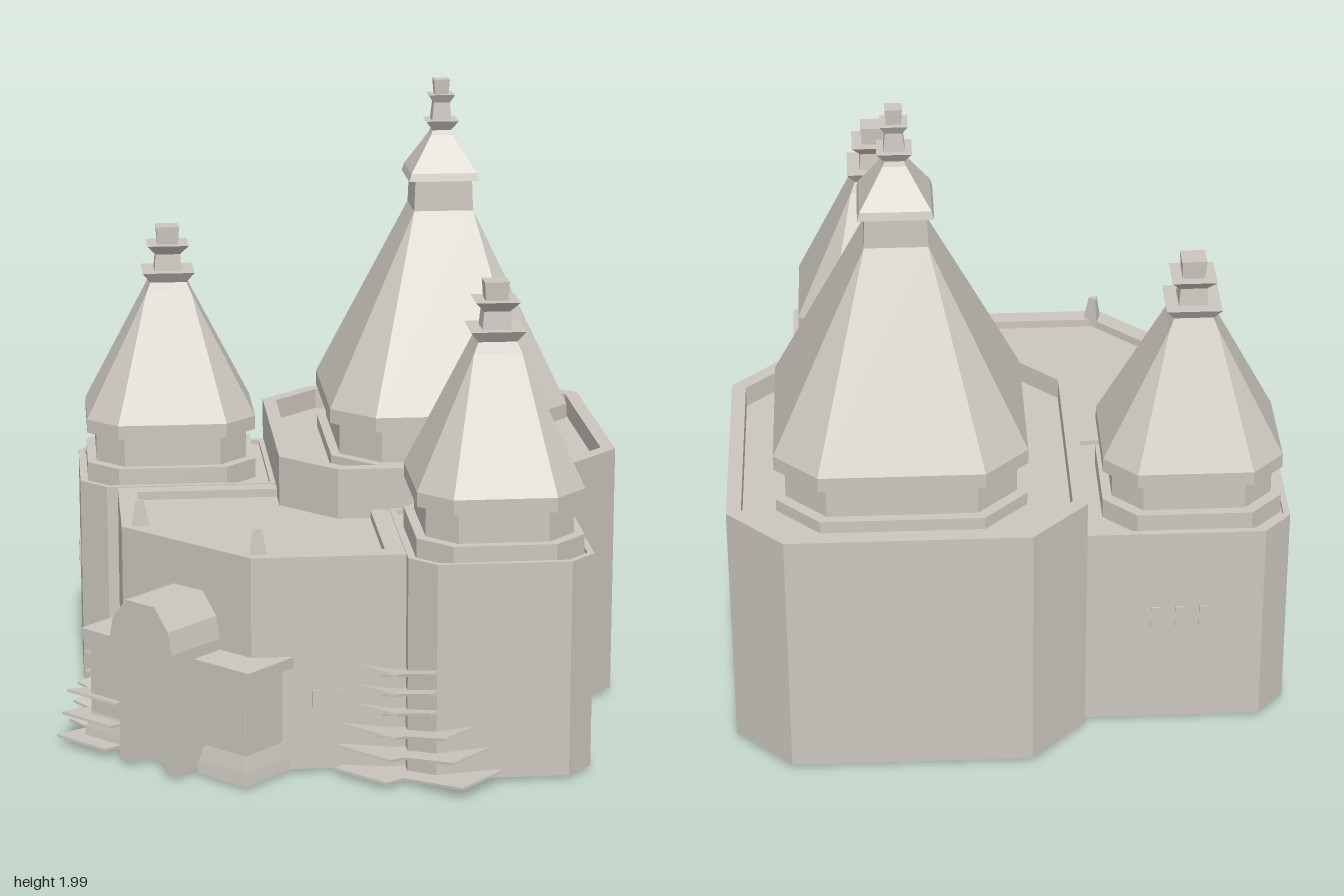
import * as THREE from 'three';

const stone = new THREE.MeshStandardMaterial({ color: 0xcbc6be, side: THREE.DoubleSide });
stone.name = 'pale stone';

function mesh(name, geometry, parent) {
  const m = new THREE.Mesh(geometry, stone);
  m.name = name;
  parent.add(m);
  return m;
}

// Chamfered rectangle in plan, counter-clockwise seen from above
function octagon(cx, cz, hx, hz, c) {
  c = Math.max(c, 0.0005);
  return [
    [hx, hz - c], [hx, c - hz], [hx - c, -hz], [c - hx, -hz],
    [-hx, c - hz], [-hx, hz - c], [c - hx, hz], [hx - c, hz],
  ].map(([x, z]) => [cx + x, cz + z]);
}

// Move every side of a convex plan inwards by d
function inset(plan, d) {
  const n = plan.length;
  const side = (i) => {
    const [a, b] = [plan[i], plan[(i + 1) % n]];
    const l = Math.hypot(b[0] - a[0], b[1] - a[1]);
    const nx = (b[1] - a[1]) / l, nz = -(b[0] - a[0]) / l;
    return [nx, nz, nx * a[0] + nz * a[1] + d];
  };
  return plan.map((_, i) => {
    const [a, b, p] = side((i + n - 1) % n), [c, e, q] = side(i);
    const det = a * e - b * c;
    return [(p * e - b * q) / det, (a * q - p * c) / det];
  });
}

// Flat-shaded skin through [plan, height] sections, closed on top, open below
function loft(sections) {
  const pos = [], idx = [], n = sections[0][0].length;
  for (const [plan, y] of sections) for (const [x, z] of plan) pos.push(x, y, z);
  for (let s = 0; s < sections.length - 1; s++) {
    for (let i = 0; i < n; i++) {
      const a = s * n + i, b = s * n + (i + 1) % n;
      idx.push(a, b, b + n, a, b + n, a + n);
    }
  }
  const top = (sections.length - 1) * n;
  for (let i = 1; i < n - 1; i++) idx.push(top, top + i, top + i + 1);
  const g = new THREE.BufferGeometry();
  g.setAttribute('position', new THREE.Float32BufferAttribute(pos, 3));
  g.setIndex(idx);
  const flat = g.toNonIndexed();
  flat.computeVertexNormals();
  return flat;
}

// Wall with a parapet around a sunken deck
function walls(name, plan, top, thickness, deck, parent) {
  const inner = inset(plan, thickness);
  mesh(name, loft([[plan, 0.02], [plan, top], [inner, top], [inner, deck]]), parent);
}

// Spire from [half x, half z, chamfer, y] steps
function spire(name, cx, cz, steps, parent) {
  mesh(name, loft(steps.map(([hx, hz, c, y]) => [octagon(cx, cz, hx, hz, c), y])), parent);
}

const square = (list) => list.map(([h, y]) => [h, h, 0, y]);

function smallSpire(name, cx, cz, hx, hz, parent) {
  spire(name, cx, cz, [
    [hx, hz, 0.1, 0.67], [hx, hz, 0.1, 0.755],
    [hx - 0.03, hz - 0.03, 0.09, 0.755], [hx - 0.03, hz - 0.03, 0.09, 0.855],
    [hx, hz, 0.1, 0.855], [hx, hz, 0.1, 0.9],
    ...square([[0.075, 1.3], [0.06, 1.335], [0.085, 1.37], [0.045, 1.37], [0.04, 1.425],
      [0.068, 1.457], [0.034, 1.457], [0.038, 1.515]]),
  ], parent);
}

// Thin plate tilted up along +z, starting at the origin
function bough(width, reach, pitch) {
  return new THREE.BoxGeometry(width, 0.008, reach).translate(0, 0, reach / 2).rotateX(-pitch);
}

// Tiered shrub with two arms at right angles
function shrub(name, x, z, armA, armB, sideSign, parent) {
  const g = new THREE.Group();
  g.name = name;
  g.position.set(x, 0, z);
  g.rotation.y = -Math.PI / 4;
  for (let i = 0; i < 6; i++) {
    const low = i < 3;
    const y = 0.012 + i * 0.063, pitch = low ? 0.1 + i * 0.04 : 0.22;
    const scale = low ? 1 - i * 0.1 : 0.58;
    const front = mesh('frontBough', bough(low ? 0.21 : 0.16, armA * scale, pitch), g);
    front.position.y = y;
    const side = mesh('sideBough', bough(low ? 0.2 : 0.15, armB * scale, pitch), g);
    side.position.y = y;
    side.rotation.y = sideSign * Math.PI / 2;
  }
  parent.add(g);
}

function gate(parent) {
  const g = new THREE.Group();
  g.name = 'gate';
  g.position.set(-0.495, 0, 0.48);
  g.rotation.y = -Math.PI / 4;
  const box = (name, w, h, d, x, y, z) => mesh(name, new THREE.BoxGeometry(w, h, d), g).position.set(x, y, z);

  // Porch roof with sloped shoulders
  const roof = new THREE.Shape([[-0.13, 0.42], [0.13, 0.42], [0.115, 0.49], [0.06, 0.56], [-0.06, 0.56], [-0.115, 0.49]]
    .map(([x, y]) => new THREE.Vector2(x, y)));
  mesh('porchRoof', new THREE.ExtrudeGeometry(roof, { depth: 0.27, bevelEnabled: false }), g).position.z = -0.04;
  box('doorPanel', 0.2, 0.4, 0.02, 0, 0.22, 0.13);

  for (const s of [-1, 1]) {
    box('doorJamb', 0.05, 0.4, 0.23, s * 0.095, 0.22, 0.085);
    // Flanking buttress with a flared foot and a slab on top
    const plan = (e) => octagon(s * 0.24, 0.02, 0.085 + e, 0.095 + e, 0);
    mesh('buttress', loft([[plan(0.018), 0.02], [plan(0.012), 0.06], [plan(0), 0.11], [plan(0), 0.35]]), g);
    box('buttressSlab', 0.22, 0.035, 0.23, s * 0.24, 0.367, 0.015);
  }
  parent.add(g);
}

export function createModel() {
  const model = new THREE.Group();
  model.name = 'fortress';

  // Main tower
  walls('mainTower', octagon(0.365, -0.385, 0.548, 0.557, 0.175), 0.838, 0.045, 0.77, model);
  spire('mainSpire', 0.38, -0.38, [
    [0.385, 0.405, 0.135, 0.75], [0.385, 0.405, 0.135, 0.81],
    [0.355, 0.375, 0.125, 0.81], [0.355, 0.375, 0.125, 0.918],
    [0.388, 0.405, 0.135, 0.918], [0.388, 0.405, 0.135, 0.965],
    ...square([[0.097, 1.58], [0.093, 1.68], [0.115, 1.68], [0.108, 1.705], [0.07, 1.765], [0.036, 1.82],
      [0.03, 1.835], [0.053, 1.867], [0.032, 1.867], [0.026, 1.925], [0.042, 1.952], [0.022, 1.952], [0.026, 2]]),
  ], model);

  // Smaller towers, butting against the main one
  walls('backTower', [[-0.18, -0.165], [-0.18, -0.74], [-0.735, -0.74], [-0.82, -0.65], [-0.82, -0.25], [-0.735, -0.165]],
    0.705, 0.02, 0.69, model);
  smallSpire('backSpire', -0.517, -0.455, 0.277, 0.256, model);
  walls('frontTower', [[0.725, 0.72], [0.725, 0.17], [0.155, 0.17], [0.155, 0.72], [0.235, 0.8], [0.645, 0.8]],
    0.705, 0.02, 0.69, model);
  smallSpire('frontSpire', 0.442, 0.505, 0.258, 0.276, model);

  // Hall between the towers, with a slanted entrance wall
  walls('hall', [[0.155, 0.67], [0.155, -0.165], [-0.7, -0.165], [-0.7, 0.29], [-0.32, 0.67]], 0.702, 0.06, 0.675, model);
  for (const [x, z] of [[-0.645, 0.27], [-0.3, 0.62]]) {
    const p = mesh('pinnacle', new THREE.CylinderGeometry(0.016, 0.038, 0.1, 3).toNonIndexed(), model);
    p.geometry.computeVertexNormals();
    p.position.set(x, 0.732, z);
    p.rotation.y = -Math.PI / 4;
  }
  gate(model);

  // Slit windows: x, y, z, quarter turn
  const slits = [
    [-0.12, 0.24, 0.672, 0], [-0.045, 0.24, 0.672, 0],
    [0.915, 0.42, -0.295, 1], [0.915, 0.42, -0.5, 1],
    [-0.55, 0.4, -0.742, 0], [-0.475, 0.4, -0.742, 0], [-0.4, 0.4, -0.742, 0],
    [-0.822, 0.4, -0.49, 1], [-0.822, 0.4, -0.425, 1],
  ];
  for (const [x, y, z, turn] of slits) {
    const w = mesh('slitWindow', new THREE.BoxGeometry(0.028, 0.07, 0.008), model);
    w.position.set(x, y, z);
    w.rotation.y = turn * Math.PI / 2;
  }

  // Shrubs at the foot of the walls
  shrub('rightShrub', 0.13, 0.65, 0.18, 0.335, 1, model);
  shrub('leftShrub', -0.67, 0.247, 0.245, 0.19, -1, model);
  return model;
}
